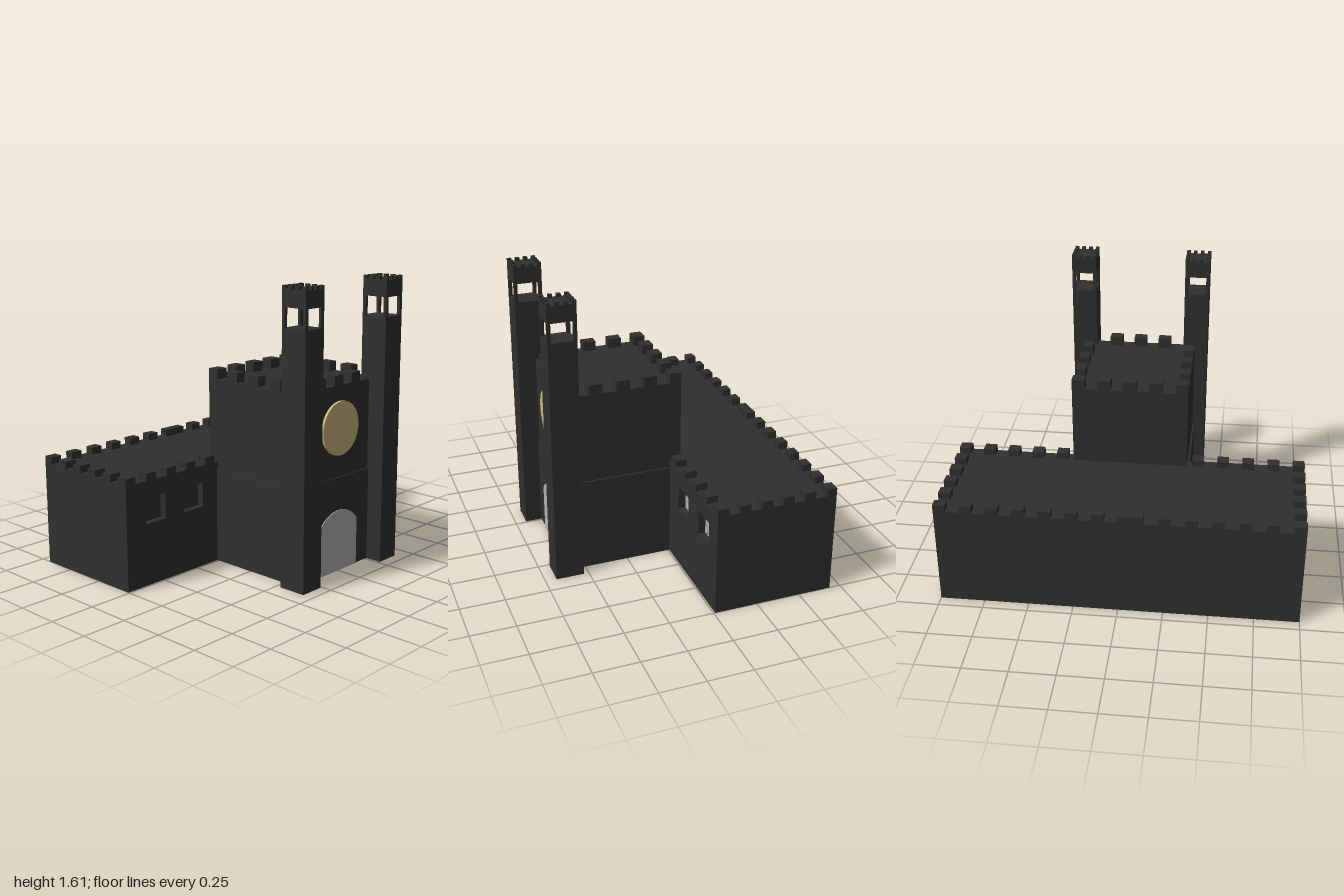
import * as THREE from 'three';

const stone = new THREE.MeshStandardMaterial({ color: 0x303030 });
stone.name = 'darkStone';
const gold = new THREE.MeshStandardMaterial({ color: 0xc8b57c });
gold.name = 'clockGold';
const grey = new THREE.MeshStandardMaterial({ color: 0xb4b0b6 });
grey.name = 'doorGrey';

function group(parent, name) {
  const g = new THREE.Group();
  g.name = name;
  parent.add(g);
  return g;
}

function add(parent, name, geometry, material = stone) {
  const mesh = new THREE.Mesh(geometry, material);
  mesh.name = name;
  parent.add(mesh);
  return mesh;
}

// Box given by its two extents along each axis
function block(parent, name, [x0, x1], [y0, y1], [z0, z1]) {
  const mesh = add(parent, name, new THREE.BoxGeometry(x1 - x0, y1 - y0, z1 - z0));
  mesh.position.set((x0 + x1) / 2, (y0 + y1) / 2, (z0 + z1) / 2);
  return mesh;
}

// Open-bottomed block: roof slab and walls; the front wall is optional
function shell(parent, name, [x0, x1], [y0, y1], [z0, z1], t, front = true) {
  block(parent, name + 'Roof', [x0, x1], [y1 - t, y1], [z0, z1]);
  block(parent, name + 'BackWall', [x0, x1], [y0, y1 - t], [z0, z0 + t]);
  const zf = z1 - t;
  block(parent, name + 'RightWall', [x0, x0 + t], [y0, y1 - t], [z0 + t, zf]);
  block(parent, name + 'LeftWall', [x1 - t, x1], [y0, y1 - t], [z0 + t, zf]);
  if (front) block(parent, name + 'FrontWall', [x0, x1], [y0, y1 - t], [zf, z1]);
}

// Long hall with four windows in its front wall
function buildHall(root) {
  const hall = group(root, 'hall');
  const t = 0.04, top = 0.58, z0 = -0.687, z1 = -0.008;
  shell(hall, 'hall', [-1, 1], [0, top], [z0, z1], t, false);

  const wall = new THREE.Shape([[-1, 0], [1, 0], [1, top - t], [-1, top - t]].map(p => new THREE.Vector2(...p)));
  for (const x of [-0.866, -0.588, 0.47, 0.752]) {
    wall.holes.push(new THREE.Path([[x, 0.345], [x, 0.485], [x + 0.14, 0.485], [x + 0.14, 0.345]].map(p => new THREE.Vector2(...p))));
  }
  const front = add(hall, 'hallFrontWall', new THREE.ExtrudeGeometry(wall, { depth: t, bevelEnabled: false }));
  front.position.z = z1 - t;

  // Battlements
  const merlons = group(hall, 'hallBattlements');
  const w = 0.067, d = 0.053, y = [top, 0.62];
  for (let i = 0; i < 7; i++) {
    const x = -1 + i * 0.1435;
    for (const [a, b] of [[x, x + w], [-x - w, -x]]) {
      block(merlons, 'merlon', [a, b], y, [z0, z0 + d]);
      if (i < 5) block(merlons, 'merlon', [a, b], y, [z1 - d - 0.01, z1]);
    }
  }
  block(merlons, 'merlon', [-0.073, 0], y, [z0, z0 + d]);
  for (let i = 1; i < 5; i++) {
    const z = z1 - i * 0.1236;
    block(merlons, 'merlon', [-1, -1 + w], y, [z - 0.062, z]);
    block(merlons, 'merlon', [1 - w, 1], y, [z - 0.062, z]);
  }
}

// Gatehouse: slightly wider base, tall upper storey, clock and door
function buildGatehouse(root) {
  const gate = group(root, 'gatehouse');
  const top = 1.045, x = 0.327, z0 = -0.072, z1 = 0.583;
  shell(gate, 'upper', [-x, x], [0, top], [z0, z1], 0.04);
  block(gate, 'baseRightSkin', [-0.338, -x], [0, 0.535], [-0.02, 0.591]);
  block(gate, 'baseLeftSkin', [x, 0.338], [0, 0.535], [-0.02, 0.591]);
  block(gate, 'baseFrontSkin', [-x, x], [0, 0.535], [z1, 0.591]);

  const merlons = group(gate, 'gatehouseBattlements');
  const w = 0.073, d = 0.058, y = [top, 1.1];
  for (let i = 0; i < 5; i++) {
    const cx = (i - 2) * (x - w / 2) / 2;
    block(merlons, 'merlon', [cx - w / 2, cx + w / 2], y, [z0, z0 + 0.065]);
    if (i > 0 && i < 4) block(merlons, 'merlon', [cx - w / 2, cx + w / 2], y, [z1 - d, z1]);
  }
  for (let i = 0; i < 3; i++) {
    const z = 0.068 + i * 0.154;
    block(merlons, 'merlon', [-x, -x + d], y, [z, z + 0.075]);
    block(merlons, 'merlon', [x - d, x], y, [z, z + 0.075]);
  }

  const clock = add(gate, 'clockFace', new THREE.CylinderGeometry(0.15, 0.15, 0.016, 48), gold);
  clock.rotation.x = Math.PI / 2;
  clock.position.set(0.007, 0.81, 0.59);

  // Arched door plate
  const half = Math.asin(0.8);
  const door = new THREE.Shape();
  door.moveTo(-0.16, 0).lineTo(0.16, 0).lineTo(0.16, 0.27);
  door.absarc(0, 0.15, 0.2, Math.PI / 2 - half, Math.PI / 2 + half, false);
  door.closePath();
  add(gate, 'door', new THREE.ExtrudeGeometry(door, { depth: 0.006, bevelEnabled: false, curveSegments: 12 }), grey).position.z = 0.59;
}

// Corner tower with an open lantern and small battlements
function buildTower(root, name, cx) {
  const tower = group(root, name);
  const x0 = -0.071, x1 = 0.071, z0 = -0.079, z1 = 0.079, p = 0.019;
  block(tower, 'shaft', [x0, x1], [0, 1.393], [z0, z1]);
  for (const x of [x0, x1 - p]) for (const z of [z0, z1 - p]) {
    block(tower, 'lanternPost', [x, x + p], [1.393, 1.5], [z, z + p]);
  }
  block(tower, 'cap', [x0, x1], [1.5, 1.592], [z0, z1]);
  for (let i = 0; i < 4; i++) for (let j = 0; j < 4; j++) {
    if (i % 3 && j % 3) continue;
    const x = x0 + i * 0.0407, z = z0 + j * 0.0453;
    block(tower, 'merlon', [x, x + 0.02], [1.592, 1.61], [z, z + 0.022]);
  }
  tower.position.set(cx, 0, 0.608);
}

export function createModel() {
  const root = new THREE.Group();
  root.name = 'castle';
  buildHall(root);
  buildGatehouse(root);
  buildTower(root, 'rightTower', -0.33);
  buildTower(root, 'leftTower', 0.335);
  return root;
}
